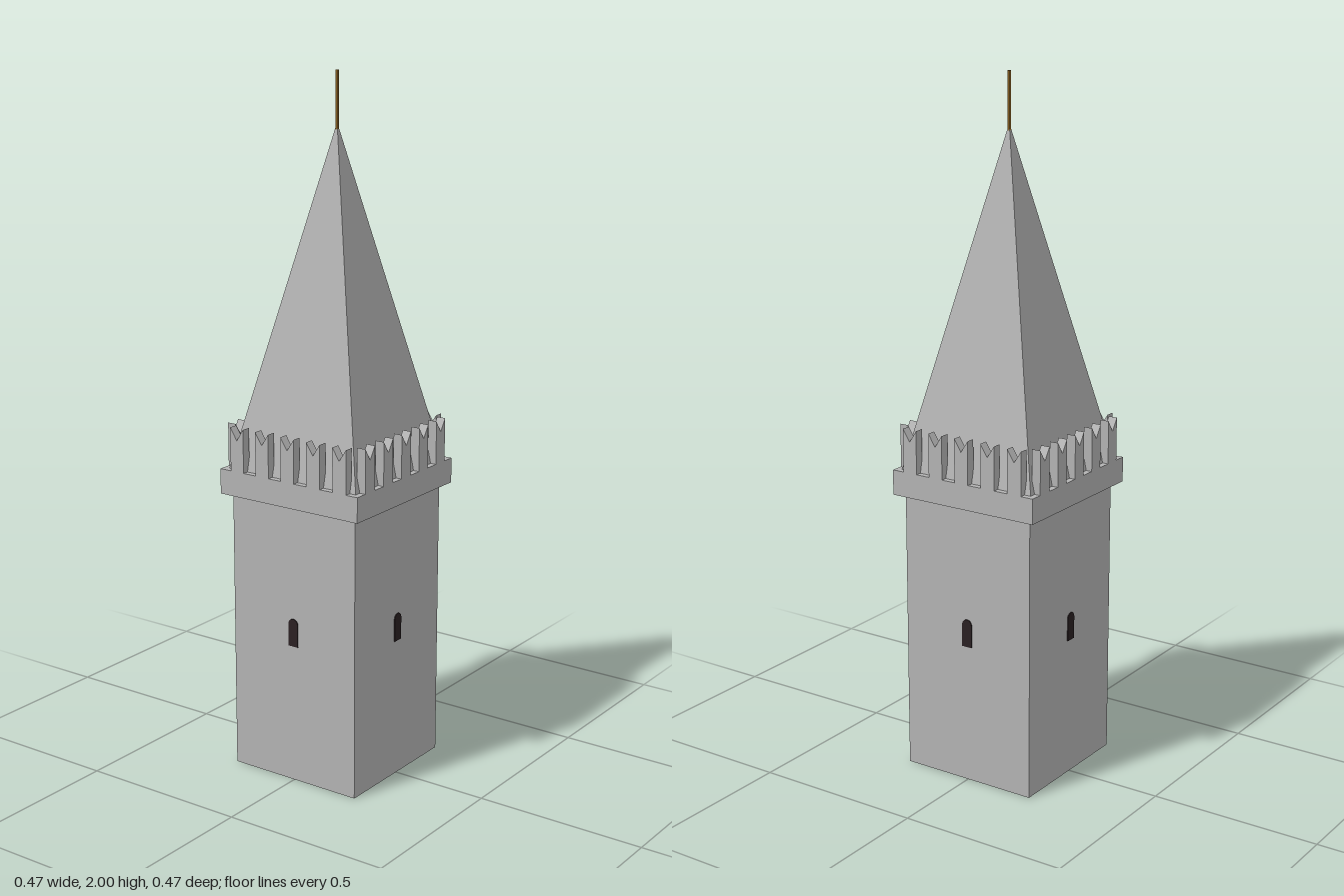
import * as THREE from 'three';

export function createModel() {
  const model = new THREE.Group();
  model.name = 'tower';

  const stone = new THREE.MeshStandardMaterial({ color: 0xb3b3b3, flatShading: true, side: THREE.DoubleSide });
  stone.name = 'stone';
  const dark = new THREE.MeshStandardMaterial({ color: 0x2a2022, flatShading: true });
  dark.name = 'dark opening';
  const gold = new THREE.MeshStandardMaterial({ color: 0xa8782c, flatShading: true });
  gold.name = 'gold';

  const add = (parent, name, geometry, material, x = 0, y = 0, z = 0) => {
    const mesh = new THREE.Mesh(geometry, material);
    mesh.name = name;
    mesh.position.set(x, y, z);
    parent.add(mesh);
    return mesh;
  };

  const WALL = 0.21, PARAPET = 0.235, LEDGE = 0.825, FLOOR = 0.898, APEX = 1.86;

  // Hollow square shaft, open at the bottom
  const shaftRadius = WALL * Math.SQRT2;
  add(model, 'shaft',
    new THREE.CylinderGeometry(shaftRadius, shaftRadius, LEDGE, 4, 1, true, Math.PI / 4),
    stone, 0, LEDGE / 2, 0);

  // Overhanging parapet ledge
  add(model, 'parapetLedge',
    new THREE.BoxGeometry(PARAPET * 2, FLOOR - LEDGE, PARAPET * 2),
    stone, 0, (FLOOR + LEDGE) / 2, 0);

  // Four-sided spire
  add(model, 'spire',
    new THREE.ConeGeometry(0.217 * Math.SQRT2, APEX - FLOOR, 4, 1, true, Math.PI / 4),
    stone, 0, (APEX + FLOOR) / 2, 0);

  // Thin finial rod
  add(model, 'finial', new THREE.CylinderGeometry(0.005, 0.005, 0.16, 8), gold, 0, 1.92, 0);

  // Swallowtail merlon with a V notch in its top
  const merlonShape = new THREE.Shape([
    [-0.0225, 0], [0.0225, 0], [0.0225, 0.126], [0, 0.091], [-0.0225, 0.126],
  ].map(([x, y]) => new THREE.Vector2(x, y)));
  const merlonGeometry = new THREE.ExtrudeGeometry(merlonShape, { depth: 0.027, bevelEnabled: false });

  // Round-headed window plate
  const windowShape = new THREE.Shape();
  windowShape.moveTo(-0.016, 0);
  windowShape.lineTo(0.016, 0);
  windowShape.lineTo(0.016, 0.066);
  windowShape.absarc(0, 0.066, 0.016, 0, Math.PI, false);
  const windowGeometry = new THREE.ExtrudeGeometry(windowShape, { depth: 0.006, bevelEnabled: false, curveSegments: 4 });

  // Merlons and window repeated on all four sides
  ['front', 'left', 'back', 'right'].forEach((name, i) => {
    const side = new THREE.Group();
    side.name = name + 'Side';
    side.rotation.y = i * Math.PI / 2;
    for (let k = -2; k <= 2; k++) {
      add(side, 'merlon', merlonGeometry, stone, k * 0.0875, FLOOR, PARAPET - 0.027);
    }
    add(side, 'window', windowGeometry, dark, 0, 0.41, WALL - 0.003);
    model.add(side);
  });

  return model;
}
